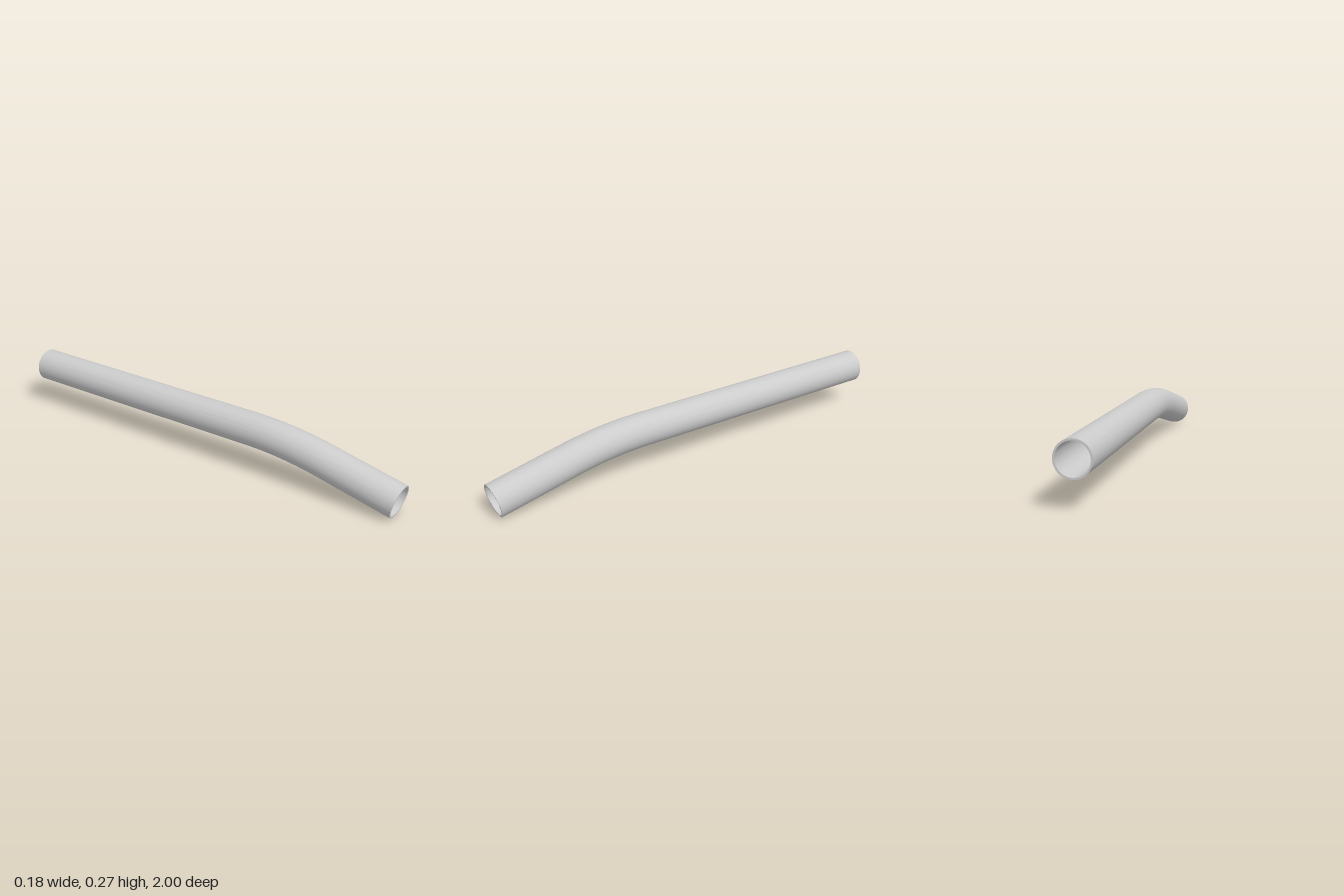
import * as THREE from 'three';
import { toCreasedNormals } from 'three/addons/utils/BufferGeometryUtils.js';

const OUTER = 0.077, INNER = 0.069;

export function createModel() {
  const group = new THREE.Group();
  group.name = 'bentPipe';

  // Centreline: long straight run, gentle bend, short drooping run
  const back = new THREE.Vector3(-0.013, 0.196, -1);
  const corner = new THREE.Vector3(0.004, 0.196, 0.438);
  const front = new THREE.Vector3(0.011, 0.075, 0.983);
  const bend = 0.195;
  const bendStart = corner.clone().add(back.clone().sub(corner).setLength(bend));
  const bendEnd = corner.clone().add(front.clone().sub(corner).setLength(bend));
  const path = new THREE.CurvePath();
  path.add(new THREE.LineCurve3(back, bendStart));
  path.add(new THREE.QuadraticBezierCurve3(bendStart, corner, bendEnd));
  path.add(new THREE.LineCurve3(bendEnd, front));

  // Thin-walled round section swept along the centreline, open at both ends
  const section = new THREE.Shape().absarc(0, 0, OUTER, 0, Math.PI * 2, false);
  section.holes.push(new THREE.Path().absarc(0, 0, INNER, 0, Math.PI * 2, true));
  const sweep = new THREE.ExtrudeGeometry(section, {
    steps: 64, curveSegments: 48, bevelEnabled: false, extrudePath: path,
  });

  const pipe = new THREE.Mesh(
    toCreasedNormals(sweep, Math.PI / 5),
    new THREE.MeshStandardMaterial({ color: 0xcccccc }),
  );
  pipe.name = 'pipe';
  group.add(pipe);
  return group;
}
